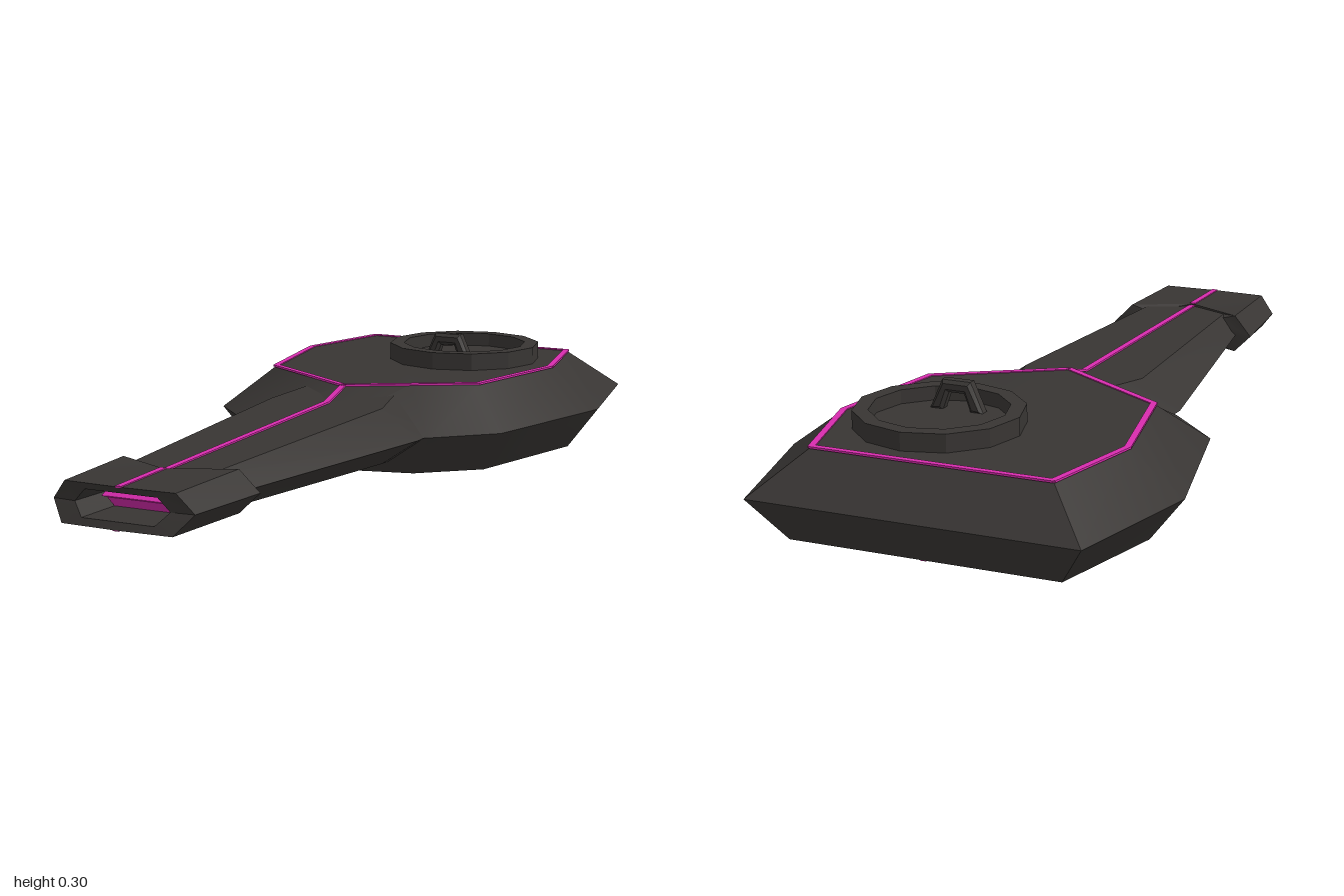
import * as THREE from 'three';
import { toCreasedNormals } from 'three/addons/utils/BufferGeometryUtils.js';

const dark = new THREE.MeshStandardMaterial({ color: 0x383533 });
const pink = new THREE.MeshStandardMaterial({ color: 0xd82cae });

// Complete a half ring (x >= 0) by mirroring it across x = 0
const mirror = half => half.concat(
  half.filter(p => p[0] > 0).reverse().map(([x, y, z]) => [-x, y, z]));

// Skin a list of equal-length rings, with optional flat caps
function loft(rings, capStart = true, capEnd = true) {
  const pos = [];
  const tri = (a, b, c) => pos.push(...a, ...b, ...c);
  const n = rings[0].length;
  for (let r = 0; r + 1 < rings.length; r++) {
    const A = rings[r], B = rings[r + 1];
    for (let i = 0; i < n; i++) {
      const j = (i + 1) % n;
      tri(A[i], A[j], B[j]);
      tri(A[i], B[j], B[i]);
    }
  }
  const cap = (ring, flip) => {
    const c = [0, 1, 2].map(k => ring.reduce((s, p) => s + p[k], 0) / n);
    ring.forEach((p, i) => {
      const q = ring[(i + 1) % n];
      flip ? tri(c, q, p) : tri(c, p, q);
    });
  };
  if (capStart) cap(rings[0], true);
  if (capEnd) cap(rings[rings.length - 1], false);
  const g = new THREE.BufferGeometry();
  g.setAttribute('position', new THREE.Float32BufferAttribute(pos, 3));
  return toCreasedNormals(g, 0.5);
}

export function createModel() {
  const model = new THREE.Group();
  model.name = 'turret';
  const add = (name, geometry, material = dark, parent = model) => {
    const m = new THREE.Mesh(geometry, material);
    m.name = name;
    parent.add(m);
    return m;
  };

  // Turret body: bottom, waist and roof outlines as [x, z]
  const level = (y, pts) => mirror(pts.map(([x, z]) => [x, y, z]));
  const roof = [[0, -0.095], [0.15, -0.188], [0.3, -0.28], [0.365, -0.61], [0.3, -0.885]];
  add('turretBody', loft([
    level(0, [[0, -0.05], [0.2, -0.1], [0.34, -0.23], [0.42, -0.61], [0.34, -0.93]]),
    level(0.11, [[0, 0.2], [0.27, -0.04], [0.41, -0.18], [0.505, -0.61], [0.415, -1]]),
    level(0.215, roof),
  ]));

  // Tapered six-sided barrel
  const hex = (z, mid, flat, bottom, top) => mirror([
    [flat, bottom, z], [mid, 0.11, z], [flat, top, z]]);
  add('barrel', loft([
    hex(-0.18, 0.25, 0.12, 0.02, 0.2),
    hex(0, 0.263, 0.16, 0.04, 0.183),
    hex(0.8, 0.148, 0.11, 0.066, 0.157),
  ]));

  // Muzzle collar with V-shaped rear edge and a recessed bore
  const collar = (mid, flat, bottom, top, zs) => mirror([
    [0, bottom, zs[0]], [flat, bottom, zs[1]], [mid, 0.11, zs[2]],
    [flat, top, zs[3]], [0, top, zs[4]]]);
  const rear = [0.795, 0.72, 0.71, 0.72, 0.795];
  add('muzzle', loft([
    collar(0.13, 0.1, 0.075, 0.148, rear),
    collar(0.205, 0.155, 0.06, 0.163, rear),
    collar(0.185, 0.145, 0.062, 0.157, [1, 0.995, 0.965, 0.98, 0.985]),
    collar(0.125, 0.095, 0.079, 0.141, [0.99, 0.99, 0.97, 0.975, 0.975]),
    collar(0.118, 0.09, 0.08, 0.14, [0.86, 0.86, 0.86, 0.86, 0.86]),
  ], false, true));

  // Wedge-shaped glowing core at the end of the bore
  const core = [[0.09, 0.08, 0.862], [0.116, 0.11, 0.862], [0.09, 0.14, 0.862]];
  add('muzzleCore', loft([
    mirror(core),
    mirror([[0.085, 0.109, 0.9], [0.1, 0.11, 0.9], [0.085, 0.111, 0.9]]),
  ]), pink);

  // Thin trim strips following a path
  const trim = (name, pts) => {
    const group = new THREE.Group();
    group.name = name;
    model.add(group);
    for (let i = 0; i + 1 < pts.length; i++) {
      const a = new THREE.Vector3(...pts[i]), b = new THREE.Vector3(...pts[i + 1]);
      const strip = add('trimStrip',
        new THREE.BoxGeometry(0.016, 0.005, a.distanceTo(b) + 0.006), pink, group);
      strip.position.lerpVectors(a, b, 0.5);
      strip.lookAt(b);
    }
  };
  const edge = level(0.215, roof);
  trim('roofTrim', [...edge, edge[0]]);
  trim('barrelTopTrim', [[0, 0.215, -0.095], [0, 0.185, 0], [0, 0.158, 0.79]]);
  trim('muzzleTopTrim', [[0, 0.163, 0.798], [0, 0.157, 0.982]]);
  trim('undersideTrim', [[0, 0, -0.925], [0, 0, -0.05], [0, 0.039, 0.035], [0, 0.065, 0.79]]);
  trim('muzzleBottomTrim', [[0, 0.06, 0.798], [0, 0.062, 0.995]]);

  // Round hatch with raised rim
  const hatch = new THREE.Group();
  hatch.name = 'hatch';
  hatch.position.set(0.1, 0.213, -0.63);
  model.add(hatch);
  const rim = [[0.205, 0], [0.205, 0.047], [0.167, 0.047], [0.167, 0.012], [0, 0.012]]
    .map(p => new THREE.Vector2(...p));
  add('hatchRim', toCreasedNormals(new THREE.LatheGeometry(rim, 12), 0.3), dark, hatch);

  // Arched hatch handle
  const arch = new THREE.Shape([
    [-0.07, 0], [-0.036, 0], [-0.02, 0.045], [0.02, 0.045],
    [0.036, 0], [0.07, 0], [0.037, 0.075], [-0.037, 0.075],
  ].map(p => new THREE.Vector2(...p)));
  const handle = add('hatchHandle', new THREE.ExtrudeGeometry(arch, {
    depth: 0.02, bevelSize: 0.008, bevelThickness: 0.008, bevelOffset: -0.008, bevelSegments: 1,
  }), dark, hatch);
  handle.position.set(0, 0.01, 0.09);

  return model;
}
